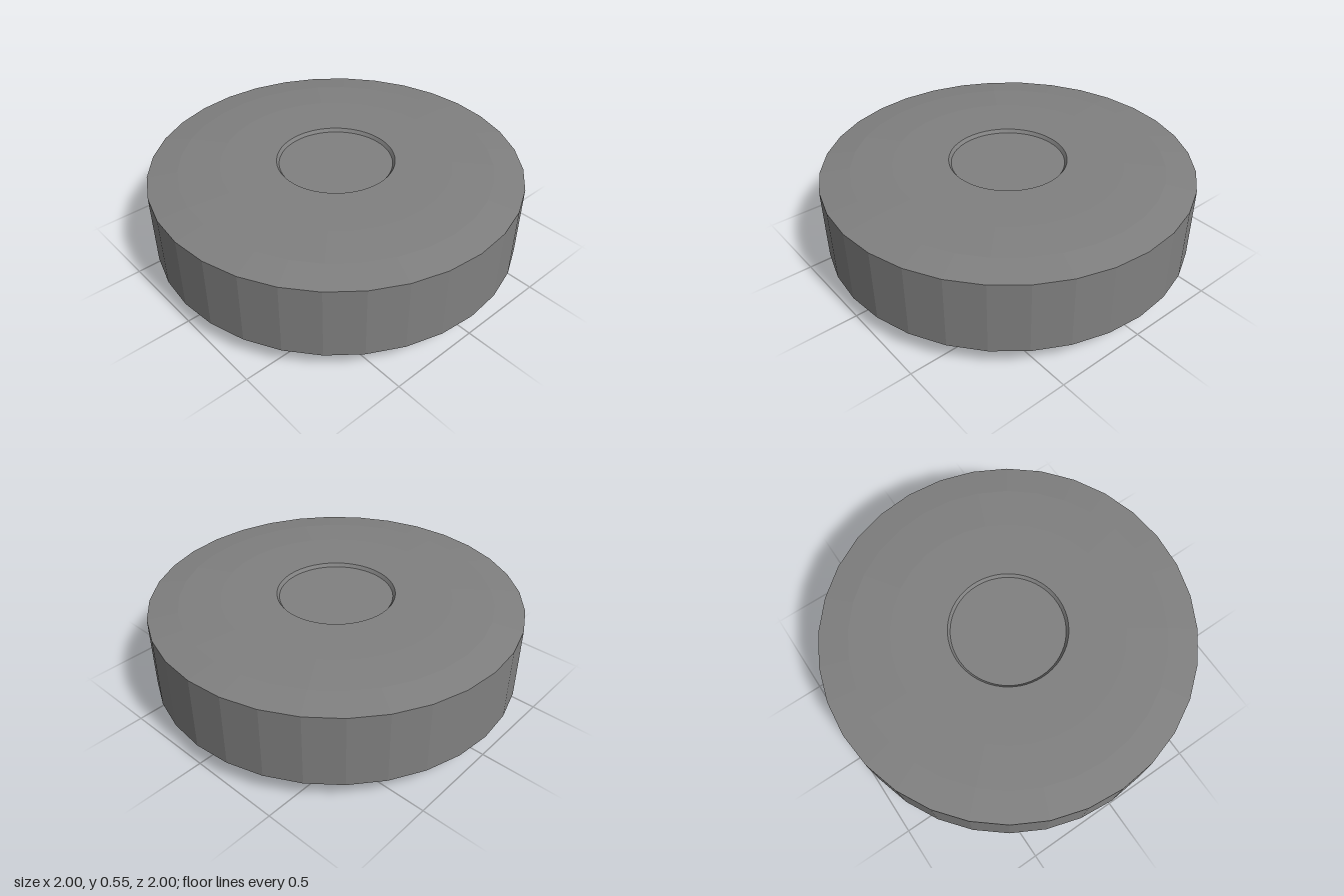
import * as THREE from 'three';

const SIDES = 32, BOTTOM = 0.11, TOP = 0.55;
const bodyMat = new THREE.MeshStandardMaterial({ color: 0x808080, flatShading: true });
const wellMat = new THREE.MeshStandardMaterial({ color: 0x808080, side: THREE.BackSide });
const smoothMat = new THREE.MeshStandardMaterial({ color: 0x808080 });
const darkMat = new THREE.MeshStandardMaterial({ color: 0x111111 });

const WHEEL = { x: 0.6, z: -0.05, r: 0.255, width: 0.21 };
const WELL = { width: 0.24, length: 0.5, top: 0.52 };

function add(group, name, geometry, material) {
  const mesh = new THREE.Mesh(geometry, material);
  mesh.name = name;
  group.add(mesh);
  return mesh;
}

// Regular polygon outline, as points
function ring(radius, sides) {
  return Array.from({ length: sides }, (_, i) => {
    const a = (i / sides) * Math.PI * 2;
    return new THREE.Vector2(radius * Math.cos(a), radius * Math.sin(a));
  });
}

// Rectangular opening for a wheel well
function wellHole(x) {
  const w = WELL.width / 2, l = WELL.length / 2;
  return new THREE.Path([[-w, -l], [-w, l], [w, l], [w, -l]]
    .map(([dx, dz]) => new THREE.Vector2(x + dx, WHEEL.z + dz)));
}

function lathe(points, sides) {
  return new THREE.LatheGeometry(points.map(([r, y]) => new THREE.Vector2(r, y)), sides);
}

export function createModel() {
  const model = new THREE.Group();
  model.name = 'roundFloorRobot';

  // Faceted side wall with bevelled underside edge and gently domed rim
  add(model, 'bodyShell', lathe([
    [0.95, BOTTOM], [1, 0.12], [1, 0.52], [0.84, 0.54], [0.62, TOP],
  ], SIDES), bodyMat);

  // Flat middle of the top, open for the round recess
  const topShape = new THREE.Shape(ring(0.62, SIDES));
  topShape.holes.push(new THREE.Path(ring(0.318, 64)));
  add(model, 'topPanel', new THREE.ShapeGeometry(topShape).rotateX(-Math.PI / 2), bodyMat)
    .position.y = TOP;

  // Shallow round recess
  add(model, 'topRecess', lathe([[0.318, TOP], [0.305, 0.532], [0, 0.532]], 64), bodyMat);

  // Underside plate with two wheel openings
  const baseShape = new THREE.Shape(ring(0.95, SIDES));
  for (const s of [-1, 1]) baseShape.holes.push(wellHole(s * WHEEL.x));
  add(model, 'basePlate', new THREE.ShapeGeometry(baseShape).rotateX(Math.PI / 2), bodyMat)
    .position.y = BOTTOM;

  // Drive wheels in their wells
  for (const [s, side] of [[1, 'left'], [-1, 'right']]) {
    const height = WELL.top - BOTTOM;
    const box = new THREE.BoxGeometry(WELL.width, height, WELL.length);
    const index = Array.from(box.index.array);
    index.splice(18, 6); // leave the bottom open
    box.setIndex(index);
    box.clearGroups();
    add(model, side + 'WheelWell', box, wellMat)
      .position.set(s * WHEEL.x, BOTTOM + height / 2, WHEEL.z);

    const wheel = new THREE.CylinderGeometry(WHEEL.r, WHEEL.r, WHEEL.width, 48);
    add(model, side + 'Wheel', wheel.rotateZ(Math.PI / 2), darkMat)
      .position.set(s * WHEEL.x, WHEEL.r, WHEEL.z);
  }

  // Front ball caster
  add(model, 'casterBall', new THREE.SphereGeometry(0.25, 32, 24), darkMat)
    .position.set(0, 0.25, 0.7);

  return model;
}
